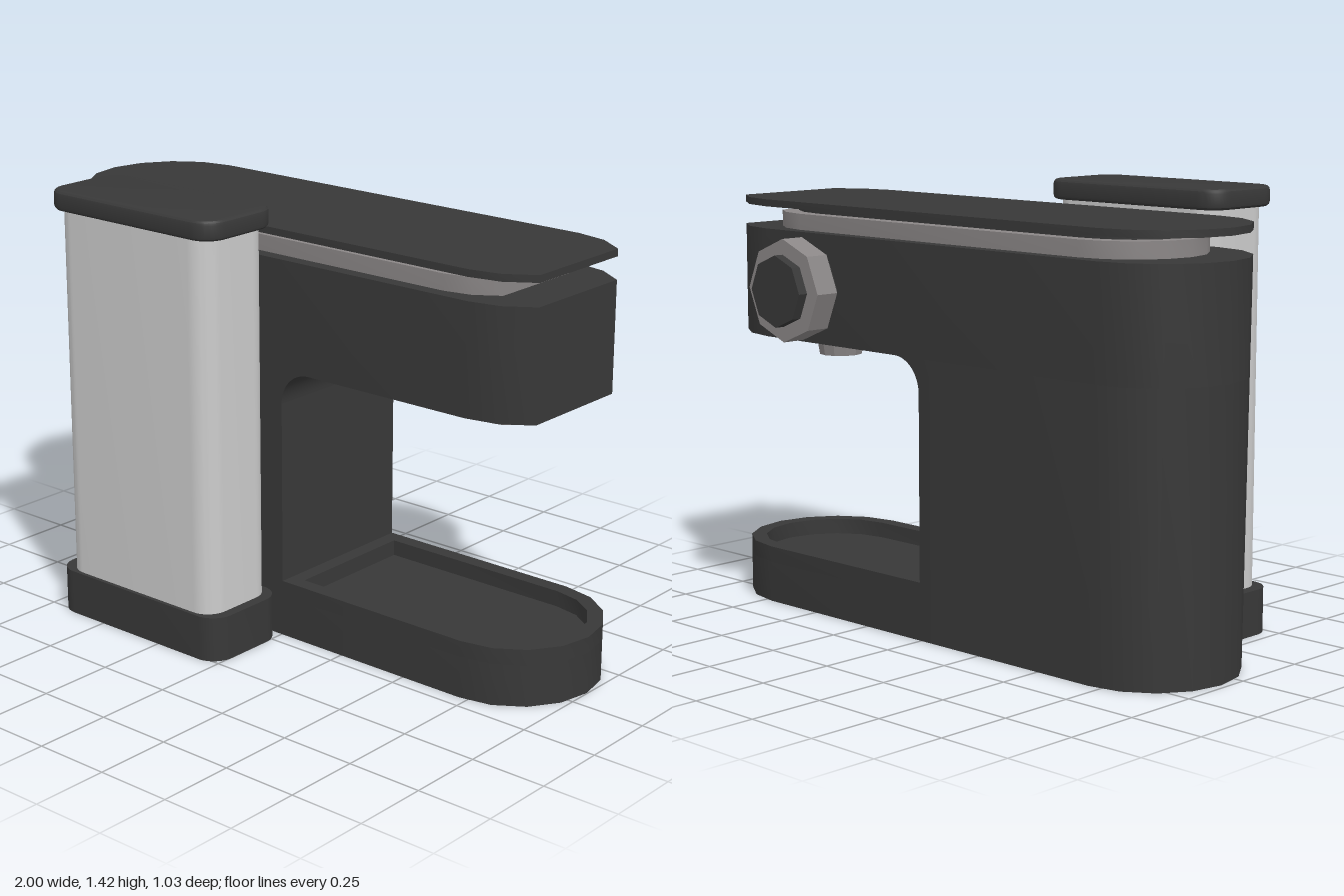
import * as THREE from 'three';
import { toCreasedNormals } from 'three/addons/utils/BufferGeometryUtils.js';

const dark = new THREE.MeshStandardMaterial({ color: 0x383838 });
const metal = new THREE.MeshStandardMaterial({ color: 0x8a8686 });
const metalFlat = new THREE.MeshStandardMaterial({ color: 0x8a8686, flatShading: true });
const darkFlat = new THREE.MeshStandardMaterial({ color: 0x383838, flatShading: true });
const grey = new THREE.MeshStandardMaterial({ color: 0xcccccc });

const MID_Z = -0.0775, R = 0.2775, END = 0.72;

// Points of a faceted round end; side is +1 or -1, skip drops points from the tip
function roundEnd(cx, r, side, skip = 0) {
  const pts = [];
  for (let i = 0; i <= 8; i++) {
    if (Math.abs(i - 4) < skip) continue;
    const a = -Math.PI / 2 + (i * Math.PI) / 8;
    pts.push(new THREE.Vector2(cx + side * Math.cos(a) * r, side * Math.sin(a) * r));
  }
  return pts;
}

// Upright slab: a plan outline (x, -z) extruded from y0 to y1
function slab(shape, y0, y1, z = MID_Z, bevel = 0) {
  const g = new THREE.ExtrudeGeometry(shape, {
    depth: y1 - y0 - bevel, curveSegments: 6, bevelEnabled: bevel > 0,
    bevelSize: bevel, bevelThickness: bevel, bevelOffset: -bevel, bevelSegments: 3,
  });
  g.rotateX(-Math.PI / 2);
  g.translate(0, y0, z);
  return g;
}

// The left end leans out slightly towards the top
function lean(g) {
  const p = g.attributes.position;
  for (let i = 0; i < p.count; i++) {
    if (p.getX(i) < -0.5) p.setX(i, p.getX(i) + 0.016 * Math.max(0, 1 - p.getY(i) / 1.25));
  }
  return g;
}

function roundedRect(x0, x1, halfDepth, r) {
  const s = new THREE.Shape(), d = halfDepth;
  s.moveTo(x0 + r, -d);
  s.lineTo(x1 - r, -d);
  s.absarc(x1 - r, -d + r, r, -Math.PI / 2, 0);
  s.absarc(x1 - r, d - r, r, 0, Math.PI / 2);
  s.absarc(x0 + r, d - r, r, Math.PI / 2, Math.PI);
  s.absarc(x0 + r, -d + r, r, Math.PI, Math.PI * 1.5);
  return s;
}

export function createModel() {
  const model = new THREE.Group();
  model.name = 'coffeeMachine';
  const add = (name, geometry, material, parent = model) => {
    const flat = material.flatShading;
    const mesh = new THREE.Mesh(flat ? geometry : toCreasedNormals(geometry, 0.5), material);
    mesh.name = name;
    parent.add(mesh);
    return mesh;
  };

  // Column and overhanging head
  const column = new THREE.Shape([
    new THREE.Vector2(0.005, -R), new THREE.Vector2(0.005, R), ...roundEnd(-END, R, -1),
  ]);
  add('column', lean(slab(column, 0, 0.895)), dark);
  const headOutline = [...roundEnd(END, R, 1, 2), ...roundEnd(-END, R, -1)];
  add('head', lean(slab(new THREE.Shape(headOutline), 0.895, 1.25)), dark);

  // Rounded inner corner between column and head
  const fillet = new THREE.Shape();
  fillet.moveTo(0.005, 0.895);
  fillet.lineTo(0.005, 0.785);
  fillet.absarc(0.115, 0.785, 0.11, Math.PI, Math.PI / 2, true);
  const filletGeo = new THREE.ExtrudeGeometry(fillet, { depth: 2 * R, bevelEnabled: false, curveSegments: 8 });
  add('innerCorner', filletGeo.translate(0, 0, MID_Z - R), dark);

  // Stacked top: metal band, shadow gap and cover plate
  const scaledOutline = (sx, sz) => new THREE.Shape(
    headOutline.map((p) => new THREE.Vector2(-0.0415 + (p.x + 0.0415) * sx, p.y * sz)));
  add('topBand', slab(scaledOutline(0.843, 0.843), 1.25, 1.302), metal);
  add('topSpacer', slab(scaledOutline(0.797, 0.68), 1.302, 1.322), dark);
  add('topPlate', slab(scaledOutline(1, 1), 1.322, 1.345), dark);

  // Drip tray: floor and raised rim
  const trayOutline = (x0, r) => [
    new THREE.Vector2(x0, -r), ...roundEnd(END, r, 1), new THREE.Vector2(x0, r),
  ];
  const rim = new THREE.Shape(trayOutline(0.005, R));
  rim.holes.push(new THREE.Path(trayOutline(0.055, R - 0.05).reverse()));
  add('trayFloor', slab(new THREE.Shape(trayOutline(0.005, R)), 0, 0.135), dark);
  add('trayRim', slab(rim, 0.135, 0.187), dark);

  // Spout under the head
  const spout = new THREE.CylinderGeometry(0.085, 0.072, 0.08, 12);
  add('spout', spout.translate(0.67, 0.855, MID_Z), metal);

  // Octagonal knob on the back
  const knob = new THREE.Group();
  knob.name = 'knob';
  knob.position.set(0.49, 1.075, 0);
  model.add(knob);
  for (const [name, r, z0, z1, mat] of [
    ['knobShaft', 0.115, -0.35, -0.4, darkFlat],
    ['knobGrip', 0.165, -0.4, -0.482, metalFlat],
    ['knobCap', 0.115, -0.482, -0.515, darkFlat],
  ]) {
    const g = new THREE.CylinderGeometry(r, r, z0 - z1, 8);
    add(name, g.rotateX(Math.PI / 2).translate(0, 0, (z0 + z1) / 2), mat, knob);
  }

  // Water tank with its foot and lid
  const tankZ = 0.359;
  add('tankFoot', slab(roundedRect(-0.71, 0.003, 0.156, 0.075), 0, 0.147, tankZ), dark);
  add('waterTank', slab(roundedRect(-0.672, -0.032, 0.143, 0.07), 0.147, 1.355, tankZ), grey);
  // The lid's lower bevel sits inside the tank top
  add('tankLid', slab(roundedRect(-0.706, 0.001, 0.156, 0.075), 1.37, 1.42, tankZ, 0.015), dark);
  return model;
}
